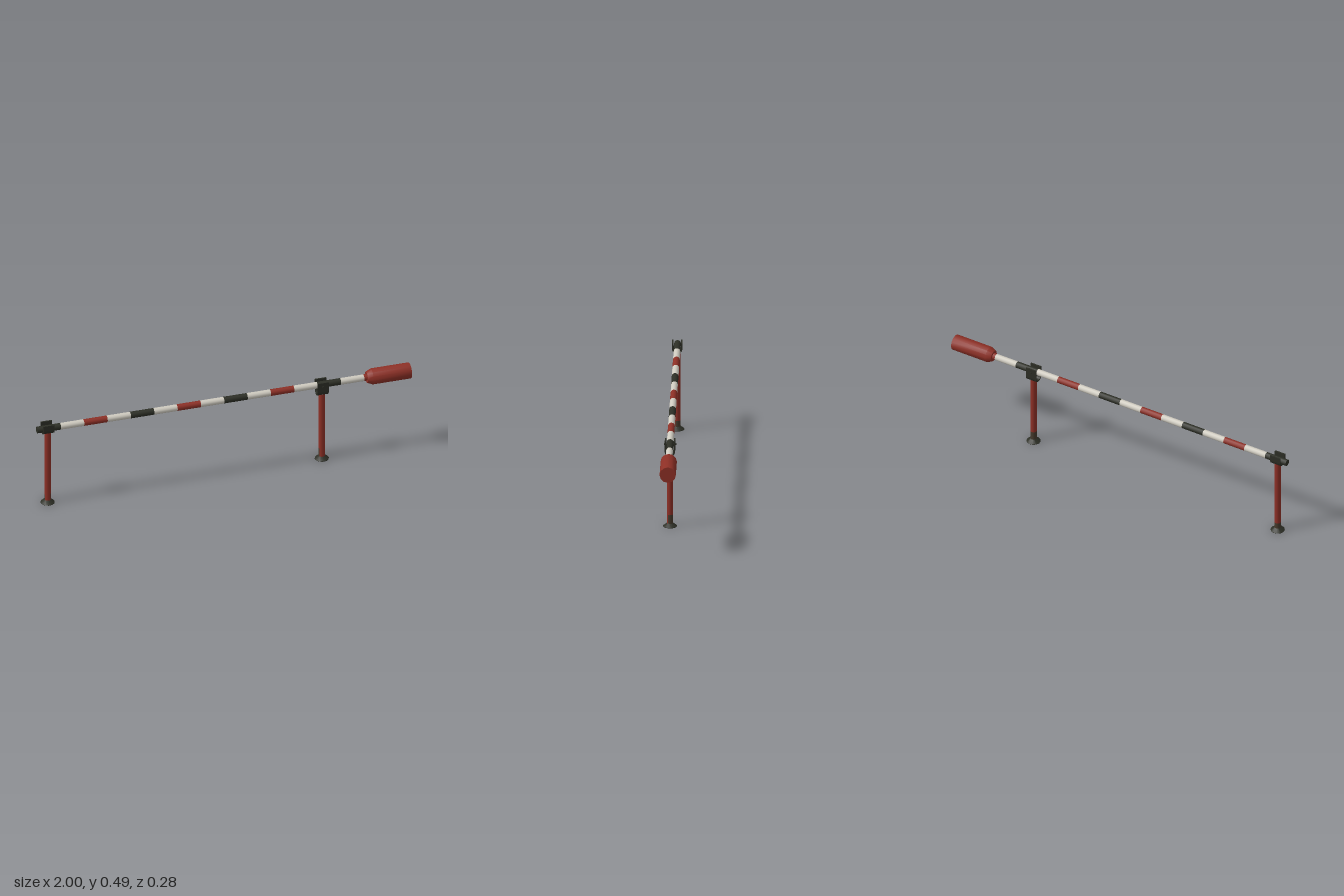
import * as THREE from 'three';
import { toCreasedNormals } from 'three/addons/utils/BufferGeometryUtils.js';

const paint = (name, color) => {
  const m = new THREE.MeshStandardMaterial({ color });
  m.name = name;
  return m;
};

export function createModel() {
  const red = paint('red paint', 0x8e3026);
  const white = paint('white paint', 0xd0ccc1);
  const dark = paint('dark iron', 0x2d2f26);
  const grime = paint('grimy red', 0x463a2c);

  const model = new THREE.Group();
  model.name = 'barrierGate';
  const YAW = 0.1055, BAR_Y = 0.449, BAR_Z = 0.005;

  const add = (parent, name, geometry, material) => {
    const mesh = new THREE.Mesh(geometry, material);
    mesh.name = name;
    parent.add(mesh);
    return mesh;
  };
  const lathe = (pts, sides = 12) => toCreasedNormals(
    new THREE.LatheGeometry(pts.map(p => new THREE.Vector2(...p)), sides), 0.6);

  // Striped bar: dark, white, red, white, repeated along its own x axis
  const bar = new THREE.Group();
  bar.name = 'bar';
  bar.position.set(0, BAR_Y, BAR_Z);
  bar.rotation.y = YAW;
  model.add(bar);
  const pitch = 0.1254;
  for (let k = -8; k < 7; k++) {
    const colour = k % 2 ? white : k % 4 ? red : dark;
    const end = k === 6 ? 0.79 : (k + 1) * pitch;
    const start = k * pitch;
    const g = new THREE.CylinderGeometry(0.0175, 0.0175, end - start, 12, 1, k !== -8);
    g.rotateZ(-Math.PI / 2);
    g.translate((start + end) / 2, 0, 0);
    add(bar, 'barStripe', g, colour);
  }

  // Counterweight with a chamfered inner end
  const weight = lathe([[0, 0.768], [0.029, 0.768], [0.042, 0.795], [0.042, 1.001], [0, 1.001]]);
  weight.rotateZ(-Math.PI / 2);
  add(bar, 'counterweight', weight, red);

  // U-shaped cradle extruded along the bar, origin at the centre of its curve
  const cradle = (rise) => {
    const R = 0.027, r = 0.0195, s = new THREE.Shape();
    s.moveTo(-R, rise);
    s.lineTo(-R, 0);
    s.absarc(0, 0, R, Math.PI, Math.PI * 2, false);
    s.lineTo(R, rise);
    s.lineTo(r, rise);
    s.lineTo(r, 0);
    s.absarc(0, 0, r, Math.PI * 2, Math.PI, true);
    s.lineTo(-r, rise);
    s.closePath();
    const g = new THREE.ExtrudeGeometry(s, { depth: 0.06, bevelEnabled: false, curveSegments: 6 });
    g.translate(0, 0, -0.03);
    g.rotateY(Math.PI / 2);
    return g;
  };

  // Posts: flared foot, painted pole, grime on the lower back, cradle on top
  const posts = [
    { name: 'restPost', x: -0.94, top: 0.428, cupY: 0.449, cupTop: 0.479, stain: 0.05 },
    { name: 'pivotPost', x: 0.525, top: 0.396, cupY: 0.418, cupTop: 0.472, stain: 0.065 },
  ];
  for (const p of posts) {
    const post = new THREE.Group();
    post.name = p.name;
    post.position.set(p.x, 0, BAR_Z - p.x * Math.tan(YAW));
    model.add(post);

    add(post, 'foot', lathe([[0, 0], [0.037, 0], [0.037, 0.002], [0.0165, 0.018], [0, 0.018]]), dark);
    const tube = (name, y0, y1, from, sweep, material) => {
      const g = new THREE.CylinderGeometry(0.0165, 0.0165, y1 - y0, Math.round(sweep * 6 / Math.PI), 1, true, from, sweep);
      g.translate(0, (y0 + y1) / 2, 0);
      add(post, name, g, material);
    };
    tube('pole', p.stain, p.top, 0, Math.PI * 2, red);
    tube('poleFrontBase', 0.016, p.stain, -Math.PI / 3, Math.PI * 2 / 3, red);
    tube('poleGrimyBase', 0.016, p.stain, Math.PI / 3, Math.PI * 4 / 3, grime);

    const cup = add(post, 'cradle', cradle(p.cupTop - p.cupY), dark);
    cup.position.y = p.cupY;
    cup.rotation.y = YAW;
  }

  // Pivot pin through the cradle that carries the counterweighted end
  const pin = new THREE.CylinderGeometry(0.005, 0.005, 0.064, 8);
  pin.rotateX(Math.PI / 2);
  add(bar, 'pivotPin', pin, dark).position.x = 0.525 / Math.cos(YAW);

  return model;
}
